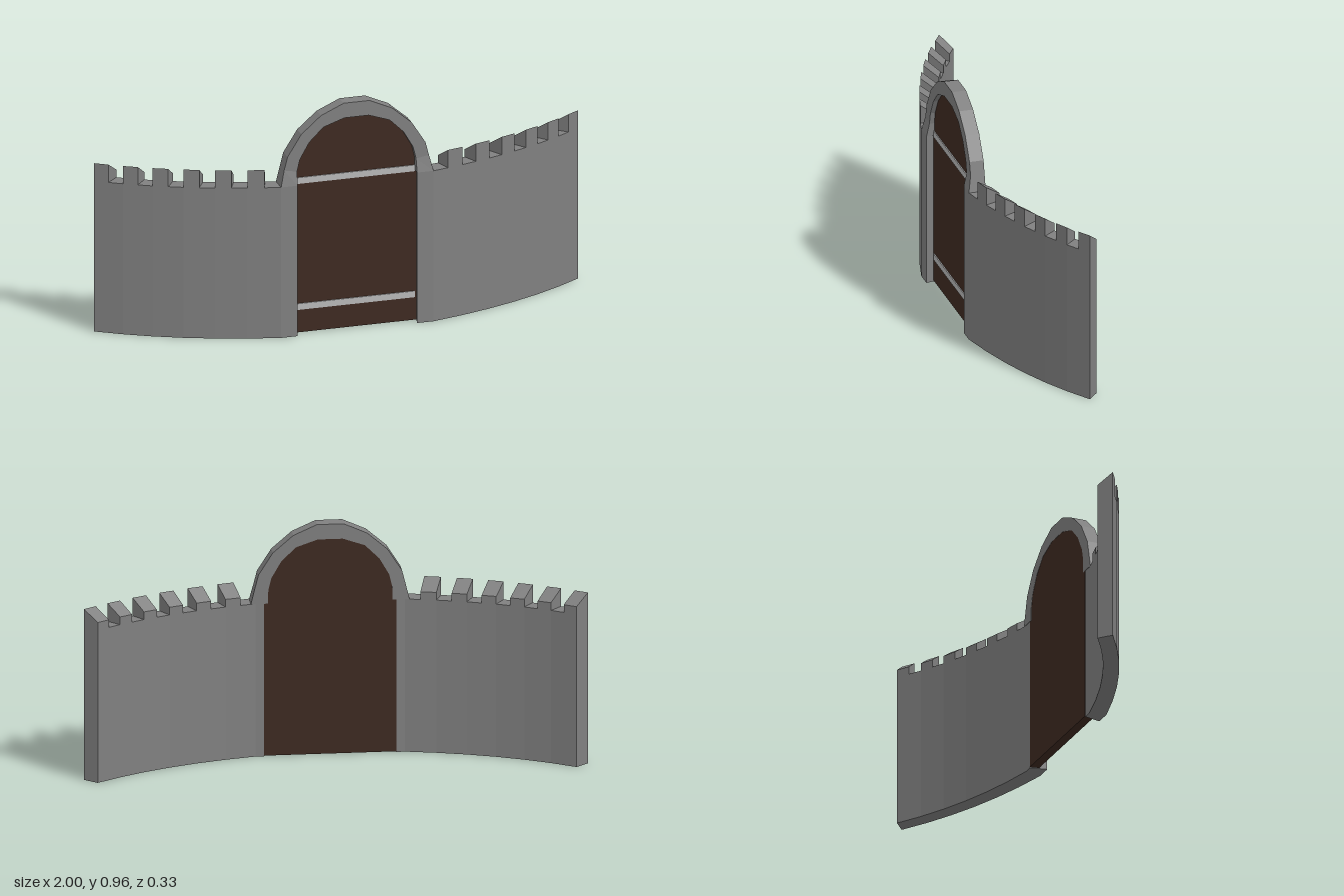
import * as THREE from 'three';

const stone = new THREE.MeshStandardMaterial({ color: 0x808080, flatShading: true });
const metal = new THREE.MeshStandardMaterial({ color: 0xb8b8b8, flatShading: true });
const wood = new THREE.MeshStandardMaterial({ color: 0x3e2a21, flatShading: true });

// Joins equal rings of points into a closed, flat-shaded solid.
function loft(rings) {
  const pos = [];
  const tri = (a, b, c) => pos.push(...a, ...b, ...c);
  const n = rings[0].length, last = rings[rings.length - 1];
  for (let k = 0; k < rings.length - 1; k++) {
    for (let j = 0; j < n; j++) {
      const m = (j + 1) % n;
      tri(rings[k][j], rings[k + 1][j], rings[k + 1][m]);
      tri(rings[k][j], rings[k + 1][m], rings[k][m]);
    }
  }
  for (let j = 1; j < n - 1; j++) {
    tri(rings[0][0], rings[0][j], rings[0][j + 1]);
    tri(last[0], last[j + 1], last[j]);
  }
  const g = new THREE.BufferGeometry();
  g.setAttribute('position', new THREE.Float32BufferAttribute(pos, 3));
  g.computeVertexNormals();
  return g;
}

// Mirrors rings across x = 0, reversing them to keep faces outward.
const mirror = (rings) => rings.map((r) => r.map(([x, y, z]) => [-x, y, z])).reverse();

const STEPS = 12, WALL_TOP = 0.635, MERLON_TOP = 0.71, MERLON_BACK = 0.667;

// Cross-section of the wall at step i, from gate (0) to outer end (12).
// Odd steps lie halfway along a flat facet that spans two steps.
function wallRing(i, bottom, frontTop, backTop) {
  const t = i / STEPS;
  const tt = t * t + (i % 2) / STEPS ** 2;
  const x = 0.315 + 0.685 * (1.15 * t - 0.15 * tt);
  const z = 0.165 - 0.287 * (0.6 * t + 0.4 * tt);
  const bx = x - 0.02 - 0.03 * t, bz = z - 0.067 + 0.024 * t;
  return [[x, bottom, z], [x, frontTop, z], [bx, backTop, bz], [bx, bottom, bz]];
}

export function createModel() {
  const model = new THREE.Group();
  const add = (name, geometry, material = stone, parent = model) => {
    const mesh = new THREE.Mesh(geometry, material);
    mesh.name = name;
    parent.add(mesh);
    return mesh;
  };

  // Curved walls, battlements and gate jambs on both sides
  for (const side of ['left', 'right']) {
    const part = new THREE.Group();
    part.name = side + 'Wall';
    model.add(part);
    const solid = (name, rings) =>
      add(name, loft(side === 'left' ? rings : mirror(rings)), stone, part);

    const base = [];
    for (let i = 0; i <= STEPS; i += 2) base.push(wallRing(i, 0, WALL_TOP, WALL_TOP));
    solid('curvedWall', base);

    for (let i = 1; i < STEPS; i += 2) {
      solid('merlon', [i, i + 1].map((k) => wallRing(k, WALL_TOP, MERLON_TOP, MERLON_BACK)));
    }

    // The jamb continues the wall to the gate opening
    const jambRing = (x, backX) => [
      [x, 0, 0.165], [x, WALL_TOP, 0.165], [backX, WALL_TOP, 0.097], [backX, 0, 0.097],
    ];
    solid('gateJamb', [jambRing(0.247, 0.262), jambRing(0.315, 0.296)]);
  }

  // Faceted arch over the gate: half profiles, foot to crown, with a flared foot
  const outer = [[0.315, 0.635], [0.299, 0.7], [0.285, 0.755], [0.228, 0.845], [0.147, 0.915], [0.053, 0.957]];
  const inner = [[0.247, 0.635], [0.246, 0.69], [0.234, 0.74], [0.195, 0.808], [0.137, 0.865], [0.05, 0.895]];
  const full = (half) => [...half.map(([x, y]) => [-x, y]), ...half.slice().reverse()];
  const outerLine = full(outer), innerLine = full(inner);
  const archRings = outerLine.map(([ox, oy], i) => {
    const [ix, iy] = innerLine[i];
    const front = oy === WALL_TOP ? 0.165 : 0.153;
    return [[ix, iy, front], [ox, oy, front], [ox, oy, 0.095], [ix, iy, 0.095]];
  });
  add('gateArch', loft(archRings));

  // Wooden door filling the opening, its lower edges set into the jambs
  const outline = [[-0.262, 0.003], [-0.262, 0.635], ...innerLine, [0.262, 0.635], [0.262, 0.003]];
  const doorShape = new THREE.Shape(outline.map(([x, y]) => new THREE.Vector2(x, y)));
  const door = new THREE.ExtrudeGeometry(doorShape, { depth: 0.037, bevelEnabled: false });
  add('door', door.translate(0, 0, 0.096), wood);

  // Metal bands across the door
  for (const y of [0.112, 0.644]) {
    add('doorBand', new THREE.BoxGeometry(0.492, 0.026, 0.016), metal).position.set(0, y, 0.129);
  }
  return model;
}
